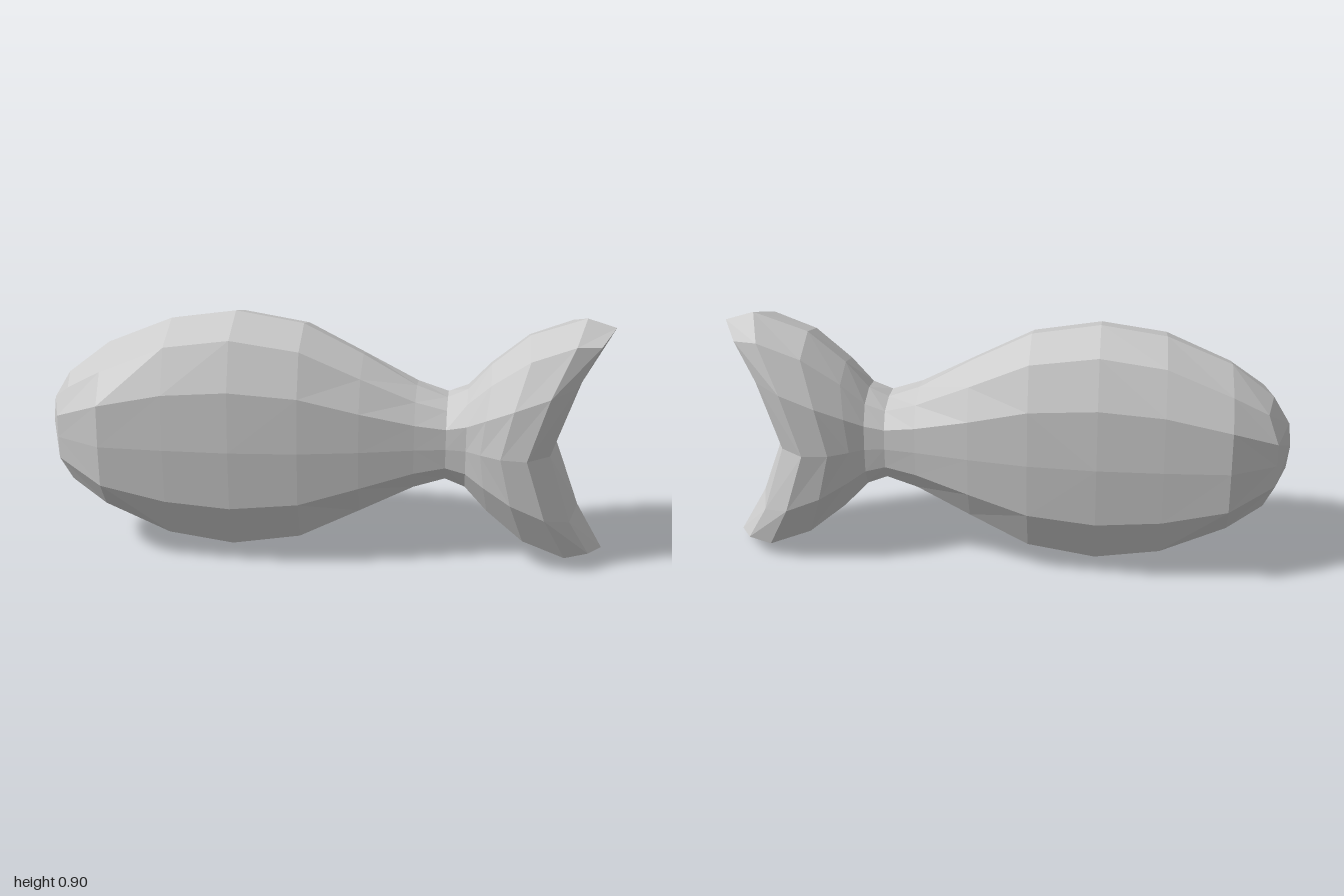
import * as THREE from 'three';

const MID = 0.45; // height of the horizontal symmetry plane

// Station with all points at one x: side depth, side edge, shoulder edge, ridge.
const station = (x, z0, h1, z1, h2, z2, h3) => [[x, 0, z0], [x, h1, z1], [x, h2, z2], [x, h3, 0]];

// Each station lists four points [x, height above middle, z]:
// middle of the side, side edge, shoulder, ridge.
const noseTip = [-0.93, 0.187, 0];
const neck = station(0.43, 0.145, 0.072, 0.14, 0.128, 0.1, 0.142);
const bodyStations = [
  [[-1, 0, 0], [-0.99, 0.087, 0], noseTip, noseTip],
  [[-0.94, 0, 0.17], [-0.94, 0.08, 0.168], [-0.905, 0.175, 0.132], noseTip],
  station(-0.78, 0.25, 0.15, 0.243, 0.25, 0.168, 0.305),
  station(-0.55, 0.257, 0.2, 0.246, 0.35, 0.175, 0.402),
  station(-0.32, 0.257, 0.218, 0.245, 0.383, 0.175, 0.437),
  station(-0.08, 0.24, 0.198, 0.23, 0.347, 0.166, 0.398),
  station(0.13, 0.205, 0.14, 0.198, 0.248, 0.142, 0.292),
  station(0.32, 0.163, 0.09, 0.158, 0.16, 0.112, 0.182),
  neck,
];

const finTip = [1, 0.418, 0];
const tailStations = [
  neck,
  station(0.5, 0.152, 0.088, 0.147, 0.155, 0.103, 0.175),
  [[0.55, 0, 0.182], [0.565, 0.125, 0.178], [0.58, 0.235, 0.125], [0.58, 0.27, 0]],
  [[0.62, 0, 0.218], [0.66, 0.175, 0.212], [0.71, 0.335, 0.152], [0.71, 0.382, 0]],
  [[0.71, 0, 0.226], [0.78, 0.225, 0.214], [0.86, 0.393, 0.154], [0.9, 0.449, 0]],
  [[0.79, 0, 0.165], [0.87, 0.25, 0.158], [0.945, 0.386, 0.123], finTip],
  [[0.815, 0, 0], [0.905, 0.25, 0], finTip, finTip],
];

// Skins the stations, mirrored top to bottom and front to back.
function skin(stations) {
  const positions = [];
  const same = (a, b) => a.every((v, k) => Math.abs(v - b[k]) < 1e-6);
  const tri = (a, b, c) => {
    if (!same(a, b) && !same(b, c) && !same(c, a)) positions.push(...a, ...b, ...c);
  };
  for (const sz of [1, -1]) {
    for (const sy of [1, -1]) {
      const at = (i, j) => {
        const [x, h, z] = stations[i][j];
        return [x, MID + sy * h, sz * z];
      };
      for (let i = 0; i < stations.length - 1; i++) {
        for (let j = 0; j < 3; j++) {
          const a = at(i, j), d = at(i, j + 1);
          const b = at(i + 1, j), c = at(i + 1, j + 1);
          if (sy * sz > 0) { tri(a, b, c); tri(a, c, d); }
          else { tri(a, c, b); tri(a, d, c); }
        }
      }
    }
  }
  const geometry = new THREE.BufferGeometry();
  geometry.setAttribute('position', new THREE.Float32BufferAttribute(positions, 3));
  geometry.computeVertexNormals();
  return geometry;
}

export function createModel() {
  const group = new THREE.Group();
  group.name = 'fish';
  const material = new THREE.MeshStandardMaterial({ color: 0xcccccc, flatShading: true });

  // Rounded body from nose to neck, then the forked tail fin
  for (const [name, stations] of [['body', bodyStations], ['tailFin', tailStations]]) {
    const mesh = new THREE.Mesh(skin(stations), material);
    mesh.name = name;
    group.add(mesh);
  }
  return group;
}
